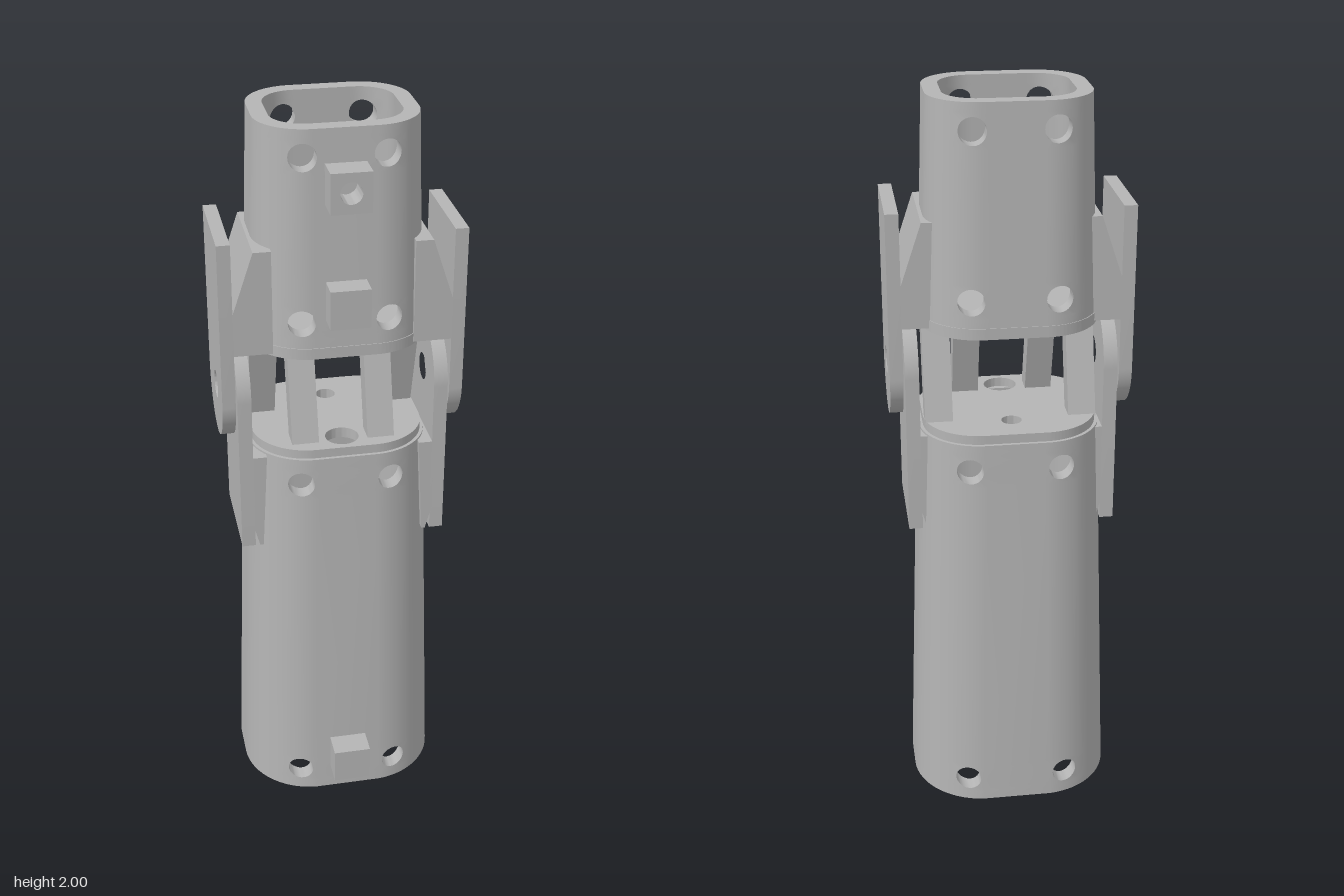
import * as THREE from 'three';
import { toCreasedNormals } from 'three/addons/utils/BufferGeometryUtils.js';

// The shell cross-section is a small core rectangle grown by a radius that tapers with height
const CORE_X = 0.08, CORE_FRONT = 0.015, CORE_BACK = -0.08;
const WALL = 0.042, CELL = 0.045, HOLE = 0.035 / CELL, N = 8;
const radius = (y, inset) => 0.2 - 0.035 * y - inset;
const holeX = (y) => 0.14 - 0.018 * y;

// Point on the front (side 1) or back (side -1) of the shell
function facePoint(x, y, side, inset) {
  const r = radius(y, inset), d = Math.max(0, Math.abs(x) - CORE_X);
  const bulge = Math.sqrt(Math.max(0, r * r - d * d));
  return [x, y, side > 0 ? CORE_FRONT + bulge : CORE_BACK - bulge];
}

// Closed cross-section: front, right corners, back, left corners
function section(y, inset) {
  const c = holeX(y), r = radius(y, inset), xs = [], pts = [];
  for (const s of [-1, 1])
    for (let i = 0; i <= N; i++) xs.push(s * c + CELL * (2 * i / N - 1));
  const a0 = Math.asin((c + CELL - CORE_X) / r), steps = 10;
  const corner = (sx, side, i) => {
    const a = a0 + (Math.PI / 2 - a0) * i / steps;
    pts.push([sx * (CORE_X + r * Math.sin(a)), y,
      side > 0 ? CORE_FRONT + r * Math.cos(a) : CORE_BACK - r * Math.cos(a)]);
  };
  xs.forEach((x) => pts.push(facePoint(x, y, 1, inset)));
  for (let i = 1; i <= steps; i++) corner(1, 1, i);
  for (let i = steps; i >= 1; i--) corner(1, -1, i);
  const backStart = pts.length;
  xs.slice().reverse().forEach((x) => pts.push(facePoint(x, y, -1, inset)));
  for (let i = 1; i <= steps; i++) corner(-1, -1, i);
  for (let i = steps; i >= 1; i--) corner(-1, 1, i);
  return { pts, backStart };
}

// Hollow tapered shell with round holes through its front and back
function shellGeometry(y0, y1, holeRows) {
  const pos = [];
  const quad = (a, b, c, d, flip) => {
    if (flip) [b, d] = [d, b];
    pos.push(...a, ...b, ...c, ...a, ...c, ...d);
  };
  const levels = [{ y: y0 }];
  for (const h of holeRows)
    for (let i = 0; i <= N; i++) levels.push({ y: h + CELL * (2 * i / N - 1), cut: i < N });
  levels.push({ y: y1 });

  const isHoleColumn = (i, back) => {
    const k = i >= back ? i - back : i;
    return k < N || (k > N && k < 2 * N + 1);
  };
  for (const inset of [0, WALL]) {
    for (let j = 0; j + 1 < levels.length; j++) {
      const lo = section(levels[j].y, inset), hi = section(levels[j + 1].y, inset);
      const n = lo.pts.length;
      for (let i = 0; i < n; i++) {
        if (levels[j].cut && isHoleColumn(i, lo.backStart)) continue;
        const k = (i + 1) % n;
        quad(lo.pts[i], lo.pts[k], hi.pts[k], hi.pts[i], inset > 0);
      }
    }
  }
  // End rims
  for (const y of [y0, y1]) {
    const o = section(y, 0).pts, n = section(y, WALL).pts;
    o.forEach((p, i) => {
      const k = (i + 1) % o.length;
      quad(p, o[k], n[k], n[i], y === y0);
    });
  }
  // Hole surrounds and bores
  const square = [];
  for (let i = 0; i < N; i++) square.push([2 * i / N - 1, -1]);
  for (let i = 0; i < N; i++) square.push([1, 2 * i / N - 1]);
  for (let i = 0; i < N; i++) square.push([1 - 2 * i / N, 1]);
  for (let i = 0; i < N; i++) square.push([-1, 1 - 2 * i / N]);
  const circle = square.map(([s, t]) => [s, t].map((v) => v * HOLE / Math.hypot(s, t)));
  for (const h of holeRows) for (const sx of [-1, 1]) for (const side of [-1, 1]) {
    const place = (list, inset) => list.map(([s, t]) => {
      const y = h + CELL * t;
      return facePoint(sx * holeX(y) + CELL * s, y, side, inset);
    });
    const so = place(square, 0), co = place(circle, 0);
    const si = place(square, WALL), ci = place(circle, WALL);
    so.forEach((p, i) => {
      const k = (i + 1) % so.length;
      quad(p, so[k], co[k], co[i], side < 0);
      quad(si[i], si[k], ci[k], ci[i], side > 0);
      quad(co[i], co[k], ci[k], ci[i], side < 0);
    });
  }
  const geo = new THREE.BufferGeometry();
  geo.setAttribute('position', new THREE.Float32BufferAttribute(pos, 3));
  return toCreasedNormals(geo, 0.6);
}

const circlePath = (x, y, r) => new THREE.Path().absarc(x, y, r, 0, Math.PI * 2, true);
const extrude = (shape, depth) =>
  new THREE.ExtrudeGeometry(shape, { depth, bevelEnabled: false, curveSegments: 24 });
const polygon = (pts) => new THREE.Shape(pts.map(([x, y]) => new THREE.Vector2(x, y)));

export function createModel() {
  const model = new THREE.Group();
  model.name = 'jointedSegment';
  const grey = new THREE.MeshStandardMaterial({ color: 0xb4b4b4 });
  grey.name = 'grey';
  const add = (name, geo) => {
    const mesh = new THREE.Mesh(geo, grey);
    mesh.name = name;
    model.add(mesh);
    return mesh;
  };

  add('lowerShell', shellGeometry(0, 1.11, [0.07, 1.035]));
  add('upperShell', shellGeometry(1.425, 2, [1.5, 1.93]));

  // End plates with cable holes
  const endPlate = (name, y, big, small) => {
    const r = 0.152, s = new THREE.Shape();
    s.absarc(CORE_X, -CORE_BACK, r, 0, Math.PI / 2);
    s.absarc(-CORE_X, -CORE_BACK, r, Math.PI / 2, Math.PI);
    s.absarc(-CORE_X, -CORE_FRONT, r, Math.PI, Math.PI * 1.5);
    s.absarc(CORE_X, -CORE_FRONT, r, Math.PI * 1.5, Math.PI * 2);
    s.holes.push(circlePath(0, -big[0], big[1]), circlePath(0, -small[0], small[1]));
    add(name, toCreasedNormals(extrude(s, 0.03).rotateX(-Math.PI / 2).translate(0, y, 0), 0.6));
  };
  endPlate('lowerEndPlate', 1.105, [0.105, 0.045], [-0.14, 0.027]);
  endPlate('upperEndPlate', 1.402, [0.05, 0.053], [-0.1, 0.027]);

  // Leaning struts between the plates
  const strut = (x, width, zBottom, zTop) => {
    const t = 0.03;
    const s = polygon([[-zBottom - t, 1.13], [-zBottom + t, 1.13], [-zTop + t, 1.405], [-zTop - t, 1.405]]);
    add('strut', extrude(s, width).rotateY(Math.PI / 2).translate(x - width / 2, 0, 0));
  };

  // Hinge cheek: straight at one end, round about the pivot at the other
  const PIVOT = 1.27, MID = 0.01, R = 0.14;
  const cheek = (name, xCentre, thick, endY) => {
    const s = new THREE.Shape(), up = endY > PIVOT;
    s.moveTo(MID - R, endY);
    s.lineTo(MID - R, PIVOT);
    s.absarc(MID, PIVOT, R, Math.PI, up ? Math.PI * 2 : 0, !up);
    s.lineTo(MID + R, endY);
    s.closePath();
    s.holes.push(circlePath(0, PIVOT, 0.037));
    const geo = extrude(s, thick).rotateY(Math.PI / 2).translate(xCentre - thick / 2, 0, 0);
    add(name, toCreasedNormals(geo, 0.6));
  };
  const wedge = (name, side, pts) =>
    add(name, extrude(polygon(pts.map(([x, y]) => [side * x, y])), 2 * R).translate(0, 0, -MID - R));

  for (const side of [-1, 1]) {
    strut(side * 0.102, 0.072, 0.1, 0.02);
    strut(side * 0.192, 0.074, -0.1, -0.02);
    cheek('upperHingeCheek', side * 0.3025, 0.035, 1.715);
    cheek('lowerHingeCheek', side * 0.2625, 0.037, 0.83);
    wedge('upperCheekMount', side,
      [[0.184, 1.41], [0.287, 1.41], [0.287, 1.52], [0.23, 1.69], [0.184, 1.69]]);
    wedge('lowerCheekMount', side,
      [[0.207, 1.105], [0.25, 1.105], [0.25, 0.9], [0.232, 0.83], [0.222, 0.83]]);
  }

  // Cable guides on the front
  const guide = (name, y, z0, z1, bored) => {
    const h = 0.052, s = polygon([[-h, y - h], [h, y - h], [h, y + h], [-h, y + h]]);
    if (bored) s.holes.push(circlePath(0, y, 0.028));
    add(name, toCreasedNormals(extrude(s, z1 - z0).translate(0, 0, z0), 0.6));
  };
  guide('lowerGuide', 0.127, 0.19, 0.28, false);
  guide('middleGuide', 1.558, 0.13, 0.222, false);
  guide('upperGuide', 1.862, 0.12, 0.222, true);
  return model;
}
